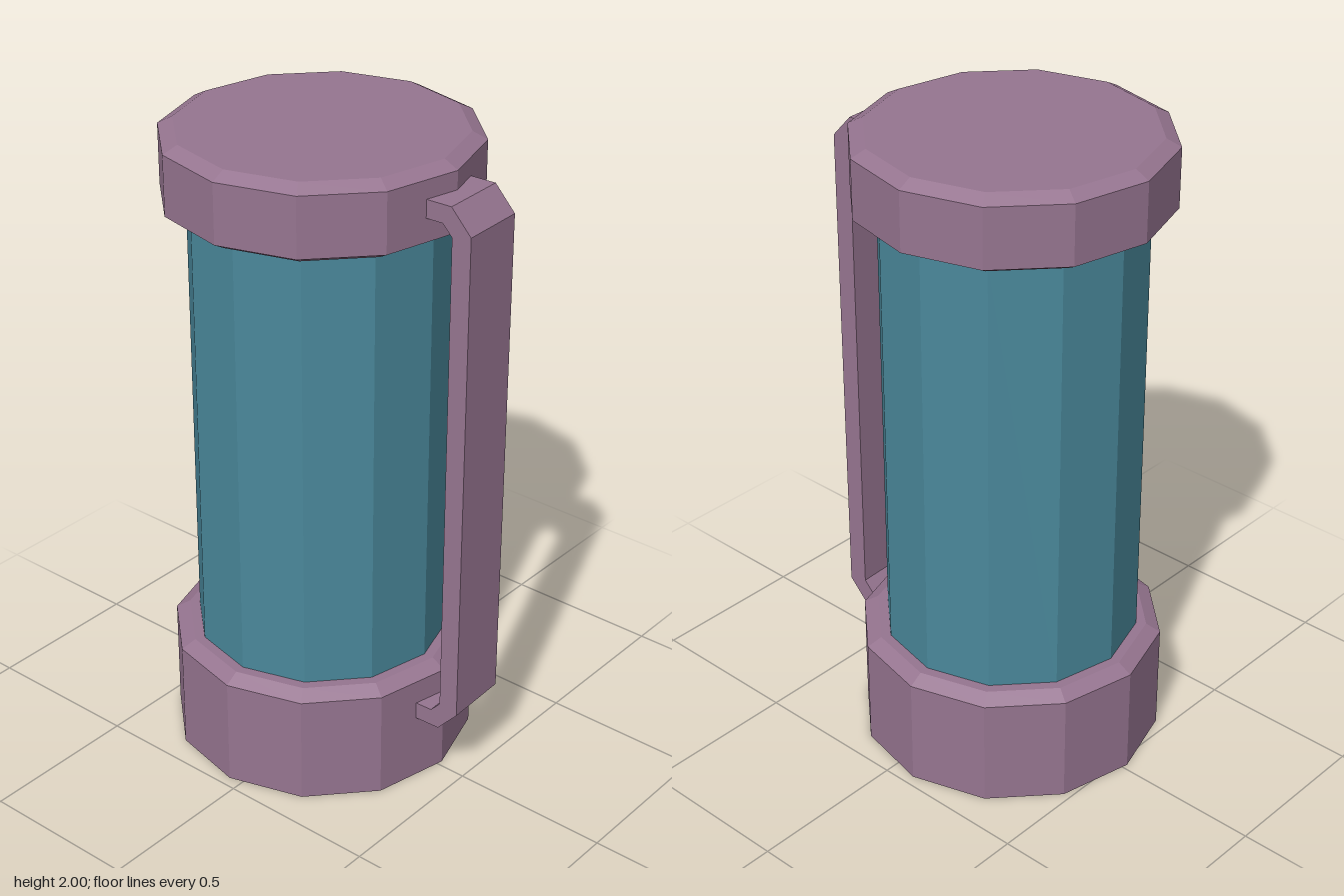
import * as THREE from 'three';

const SIDES = 12;
const purple = new THREE.MeshStandardMaterial({ color: 0x967590, flatShading: true });
const teal = new THREE.MeshStandardMaterial({ color: 0x4a889b, flatShading: true });

// Twelve-sided turned part from [radius, y] points, listed bottom to top
function turned(name, points, material) {
  const profile = points.map(([r, y]) => new THREE.Vector2(r, y));
  const mesh = new THREE.Mesh(new THREE.LatheGeometry(profile, SIDES), material);
  mesh.name = name;
  return mesh;
}

// Bracket handle: side outline mirrored about its middle height, extruded across z
function makeHandle() {
  const mid = 1.0675, width = 0.208;
  const outer = [[0.588, 0.78], [0.522, 0.853], [0.43, 0.853]];
  const inner = [[0.43, 0.798], [0.495, 0.798], [0.526, 0.764]];
  const upper = [...outer, ...inner];
  const lower = [...upper].reverse().map(([x, y]) => [x, -y]);
  const shape = new THREE.Shape([...upper, ...lower].map(([x, y]) => new THREE.Vector2(x, mid + y)));
  const geometry = new THREE.ExtrudeGeometry(shape, { depth: width, bevelEnabled: false });
  geometry.translate(0, 0, -width / 2);
  const mesh = new THREE.Mesh(geometry, purple);
  mesh.name = 'handle';
  return mesh;
}

export function createModel() {
  const canister = new THREE.Group();
  canister.name = 'canister';
  const R = 0.468, bevelR = 0.424, bodyR = 0.393;

  // Base cup with a chamfered upper rim
  canister.add(turned('base', [[0, 0], [R, 0], [R, 0.347], [bevelR, 0.373], [0, 0.373]], purple));

  // Body tube
  canister.add(turned('body', [[bodyR, 0.36], [bodyR, 1.78]], teal));

  // Lid chamfered on both rims
  canister.add(turned('lid',
    [[0, 1.77], [bevelR, 1.77], [R, 1.794], [R, 1.977], [bevelR, 2], [0, 2]], purple));

  canister.add(makeHandle());

  // Slight twist, and offset so body plus handle are centred
  canister.rotation.y = THREE.MathUtils.degToRad(2.2);
  canister.position.x = -0.0625;

  const model = new THREE.Group();
  model.add(canister);
  return model;
}
